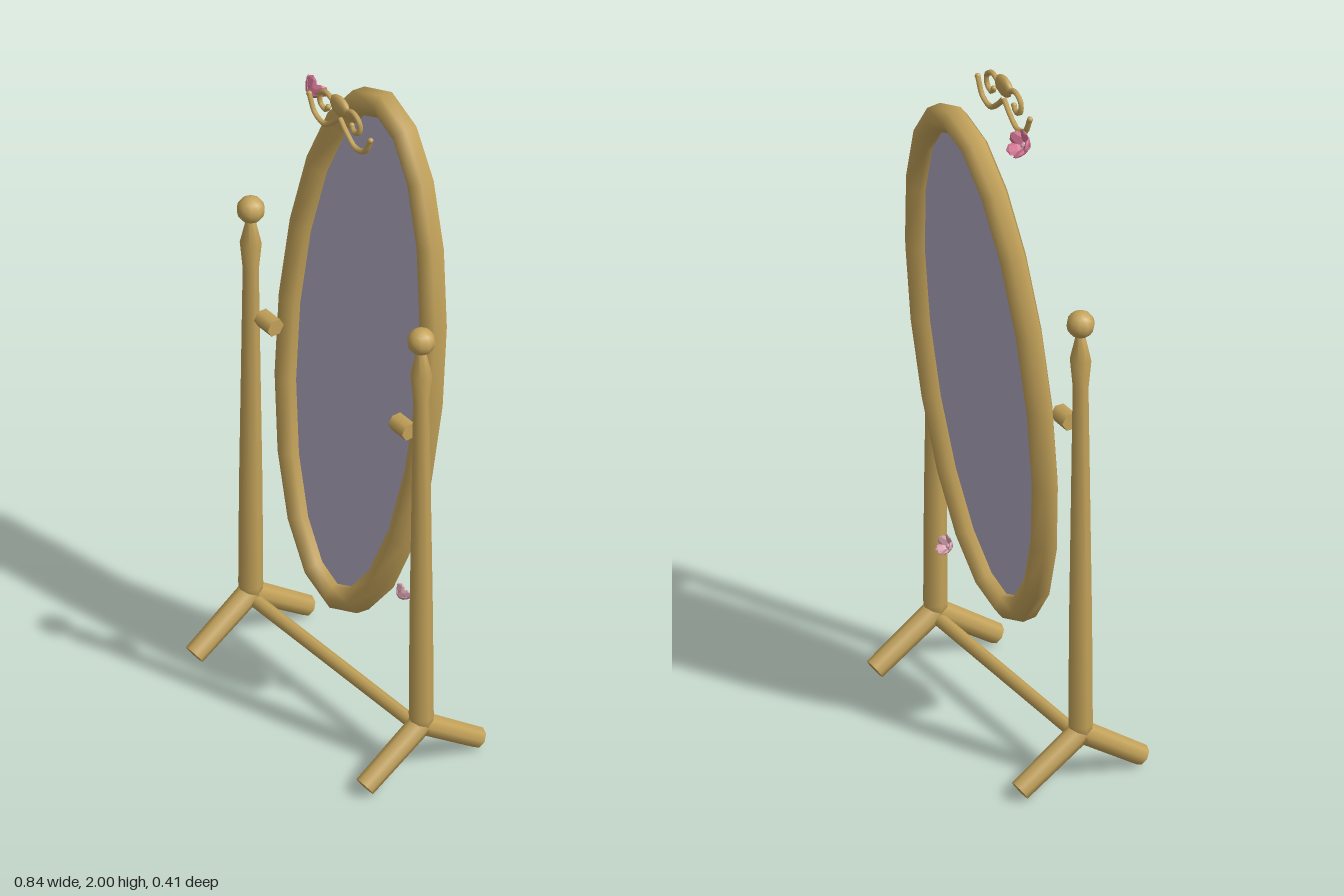
import * as THREE from 'three';

const V = (x, y, z = 0) => new THREE.Vector3(x, y, z);

// Ellipse sampled evenly by angle, starting at the top
class Oval extends THREE.Curve {
  constructor(rx, ry) { super(); this.rx = rx; this.ry = ry; }
  getPoint(t) {
    const a = t * Math.PI * 2;
    return V(this.rx * Math.sin(a), this.ry * Math.cos(a));
  }
  getUtoTmapping(u) { return u; }
}

export function createModel() {
  const model = new THREE.Group();
  const mat = (name, color, extra = {}) => {
    const m = new THREE.MeshStandardMaterial({ color, ...extra });
    m.name = name;
    return m;
  };
  const gold = mat('antique gold', 0xc4a35a);
  const glass = mat('mirror lavender', 0xb4acc4, { side: THREE.DoubleSide });
  const rose = mat('rose pink', 0xd87898, { flatShading: true });
  const blush = mat('pale pink', 0xe0a8b8, { flatShading: true });

  const add = (name, geo, material, parent = model) => {
    const m = new THREE.Mesh(geo, material);
    m.name = name;
    parent.add(m);
    return m;
  };
  // Cylinder between two points
  const rod = (name, a, b, r0, r1, sides) => {
    const d = b.clone().sub(a);
    const m = add(name, new THREE.CylinderGeometry(r1, r0, d.length(), sides), gold);
    m.position.copy(a).addScaledVector(d, 0.5);
    m.quaternion.setFromUnitVectors(V(0, 1, 0), d.normalize());
    return m;
  };

  // Tilted oval frame with its mirror
  const tilted = new THREE.Group();
  tilted.name = 'tiltingMirror';
  tilted.position.set(0, 1.133, -0.083);
  tilted.rotation.x = -0.105;
  model.add(tilted);
  add('ovalFrame', new THREE.TubeGeometry(new Oval(0.305, 0.778), 20, 0.04, 6, true), gold, tilted);
  const pane = add('mirrorGlass', new THREE.CircleGeometry(1, 20, Math.PI / 2), glass, tilted);
  pane.scale.set(0.3, 0.77, 1);

  // Turned posts, finials, feet and pivots on both sides
  const postProfile = [
    [0, 0.13], [0.03, 0.13], [0.034, 0.18], [0.032, 0.5], [0.022, 1.22], [0.03, 1.305], [0.012, 1.385], [0, 1.385],
  ].map(([r, y]) => new THREE.Vector2(r, y));
  for (const s of [1, -1]) {
    const x = 0.381 * s;
    add('post', new THREE.LatheGeometry(postProfile, 8), gold).position.x = x;
    add('finialBall', new THREE.SphereGeometry(0.039, 10, 8), gold).position.set(x, 1.415, 0);
    for (const f of [1, -1]) rod('foot', V(x, 0.155, 0), V(x, 0.026, 0.19 * f), 0.033, 0.03, 8);
    const pivot = add('pivot', new THREE.CylinderGeometry(0.027, 0.027, 0.062, 6), gold);
    pivot.rotation.z = Math.PI / 2;
    pivot.position.set(0.3 * s, 1.087, 0);
  }
  rod('crossbar', V(-0.38, 0.135, 0), V(0.38, 0.135, 0), 0.019, 0.019, 8);

  // Crest: central boss with mirrored scrolls
  const crest = new THREE.Group();
  crest.name = 'crest';
  crest.position.z = -0.013;
  model.add(crest);
  const boss = add('crestBoss', new THREE.SphereGeometry(1, 8, 6), gold, crest);
  boss.scale.set(0.042, 0.031, 0.015);
  boss.position.y = 1.969;
  const scrolls = {
    lowerScroll: [[0, 1.93], [0.03, 1.898], [0.07, 1.87], [0.112, 1.883], [0.137, 1.932]],
    upperCurl: [[0.03, 1.968], [0.06, 1.979], [0.088, 1.962], [0.087, 1.93], [0.062, 1.92], [0.053, 1.935]],
  };
  for (const s of [1, -1]) {
    for (const [name, pts] of Object.entries(scrolls)) {
      const path = new THREE.CatmullRomCurve3(pts.map(([x, y]) => V(x * s, y)));
      add(name, new THREE.TubeGeometry(path, 14, 0.008, 6), gold, crest);
      const [ex, ey] = pts[pts.length - 1];
      add('scrollTip', new THREE.SphereGeometry(0.0085, 6, 4), gold, crest).position.set(ex * s, ey, 0);
    }
  }

  // Five-petal cup blossoms opening up and back
  const flower = (name, material, size, pos) => {
    const g = new THREE.Group();
    g.name = name;
    g.position.copy(pos);
    g.scale.setScalar(size);
    g.quaternion.setFromUnitVectors(V(0, 1, 0), V(0, 0.5, -0.85).normalize());
    model.add(g);
    const petal = new THREE.SphereGeometry(1, 6, 4);
    petal.scale(0.024, 0.031, 0.007);
    petal.translate(0, 0.03, 0);
    petal.rotateX(0.75);
    for (let i = 0; i < 5; i++) add('petal', petal, material, g).rotation.y = i * Math.PI * 0.4;
    add('flowerCentre', new THREE.SphereGeometry(0.011, 6, 4), blush, g).position.y = 0.014;
  };
  flower('upperFlower', rose, 1, V(-0.187, 1.882, -0.048));
  flower('lowerFlower', blush, 0.72, V(0.21, 0.448, -0.052));

  return model;
}
